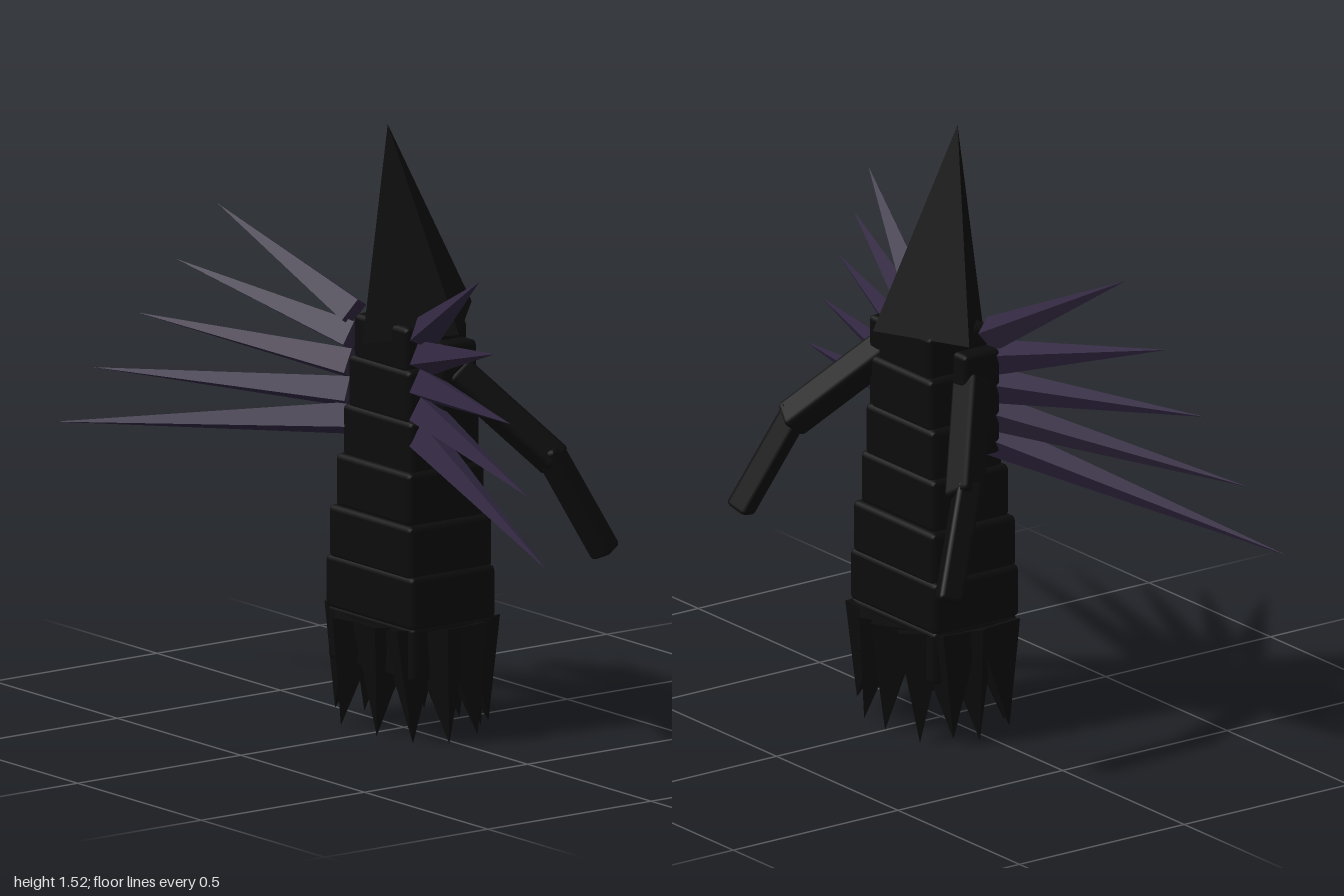
import * as THREE from 'three';
import { RoundedBoxGeometry } from 'three/addons/geometries/RoundedBoxGeometry.js';

const UP = new THREE.Vector3(0, 1, 0);

export function createModel() {
  const root = new THREE.Group();
  root.name = 'hoodedFigure';

  const black = new THREE.MeshStandardMaterial({ color: 0x0c0c0c });
  black.name = 'black';
  const purple = new THREE.MeshStandardMaterial({ color: 0x30263f });
  purple.name = 'darkPurple';

  const add = (name, geometry, material) => {
    const mesh = new THREE.Mesh(geometry, material);
    mesh.name = name;
    root.add(mesh);
    return mesh;
  };

  // Turns a mesh so its own y axis runs from a to b, centred between them
  const align = (mesh, a, b) => {
    mesh.position.copy(a).add(b).multiplyScalar(0.5);
    mesh.quaternion.setFromUnitVectors(UP, b.clone().sub(a).normalize());
  };

  // Four-sided faceted spike from a base centre to a tip
  const spike = (name, base, tip, radius, material) => {
    const a = new THREE.Vector3(...base), b = new THREE.Vector3(...tip);
    const g = new THREE.ConeGeometry(radius, a.distanceTo(b), 4).toNonIndexed();
    g.computeVertexNormals();
    align(add(name, g, material), a, b);
  };

  // Bevelled bar between two points
  const bar = (name, start, end, width) => {
    const a = new THREE.Vector3(...start), b = new THREE.Vector3(...end);
    const g = new RoundedBoxGeometry(width, a.distanceTo(b), width, 1, 0.012);
    align(add(name, g, black), a, b);
  };

  // Stacked body blocks: bottom, top, half width, front z, back z
  const blocks = [
    [0.165, 0.305, 0.175, 0.105, -0.15],
    [0.295, 0.43, 0.177, 0.11, -0.15],
    [0.42, 0.555, 0.167, 0.108, -0.148],
    [0.55, 0.685, 0.152, 0.098, -0.136],
    [0.675, 0.81, 0.14, 0.085, -0.13],
    [0.8, 0.935, 0.125, 0.08, -0.125],
    [0.925, 1.04, 0.108, 0.075, -0.115],
  ];
  for (const [y0, y1, w, zf, zb] of blocks) {
    const g = new RoundedBoxGeometry(w * 2, y1 - y0, zf - zb, 1, 0.014);
    add('bodyBlock', g, black).position.set(0, (y0 + y1) / 2, (zf + zb) / 2);
  }

  // Pointed hood, tilted slightly forward
  spike('hood', [0, 1.02, -0.04], [0, 1.53, 0.05], 0.17, black);

  // Ragged skirt: tip x, tip z, tip y
  const teeth = [
    [-0.11, 0.11, 0.01], [0.035, 0.11, 0.01], [0.155, 0.09, 0.01],
    [-0.2, 0.06, 0.03], [-0.2, -0.03, 0.01], [-0.2, -0.11, 0.03],
    [0.21, 0.02, 0.01], [0.205, -0.07, 0.02], [0.17, -0.13, 0.04],
    [-0.13, -0.16, 0.01], [0, -0.17, 0.01], [0.1, -0.16, 0.01],
  ];
  for (const [x, z, y] of teeth) {
    spike('skirtTooth', [x * 0.7, 0.283, -0.02 + (z + 0.02) * 0.75], [x, y, z], 0.083, black);
  }

  // Wing spikes: root y, tip x, tip y, tip z
  const wing = [
    [1.03, 0.53, 1.25, 0.17],
    [0.97, 0.645, 1.095, 0.21],
    [0.9, 0.755, 0.945, 0.245],
    [0.83, 0.88, 0.79, 0.285],
    [0.765, 0.995, 0.637, 0.32],
  ];
  for (const s of [1, -1]) {
    const side = s > 0 ? 'left' : 'right';
    for (const [ry, x, y, z] of wing) {
      spike(side + 'WingSpike', [s * 0.145, ry, 0.043], [s * x, y, z], 0.045, purple);
    }
    // Shoulder pad and swept-back arm
    const pad = new RoundedBoxGeometry(0.055, 0.27, 0.11, 1, 0.012);
    add(side + 'ShoulderPad', pad, black).position.set(s * 0.172, 0.875, -0.02);
    bar(side + 'UpperArm', [s * 0.17, 0.93, -0.03], [s * 0.36, 0.715, -0.195], 0.075);
    bar(side + 'Forearm', [s * 0.35, 0.75, -0.175], [s * 0.43, 0.485, -0.295], 0.062);
  }

  return root;
}
